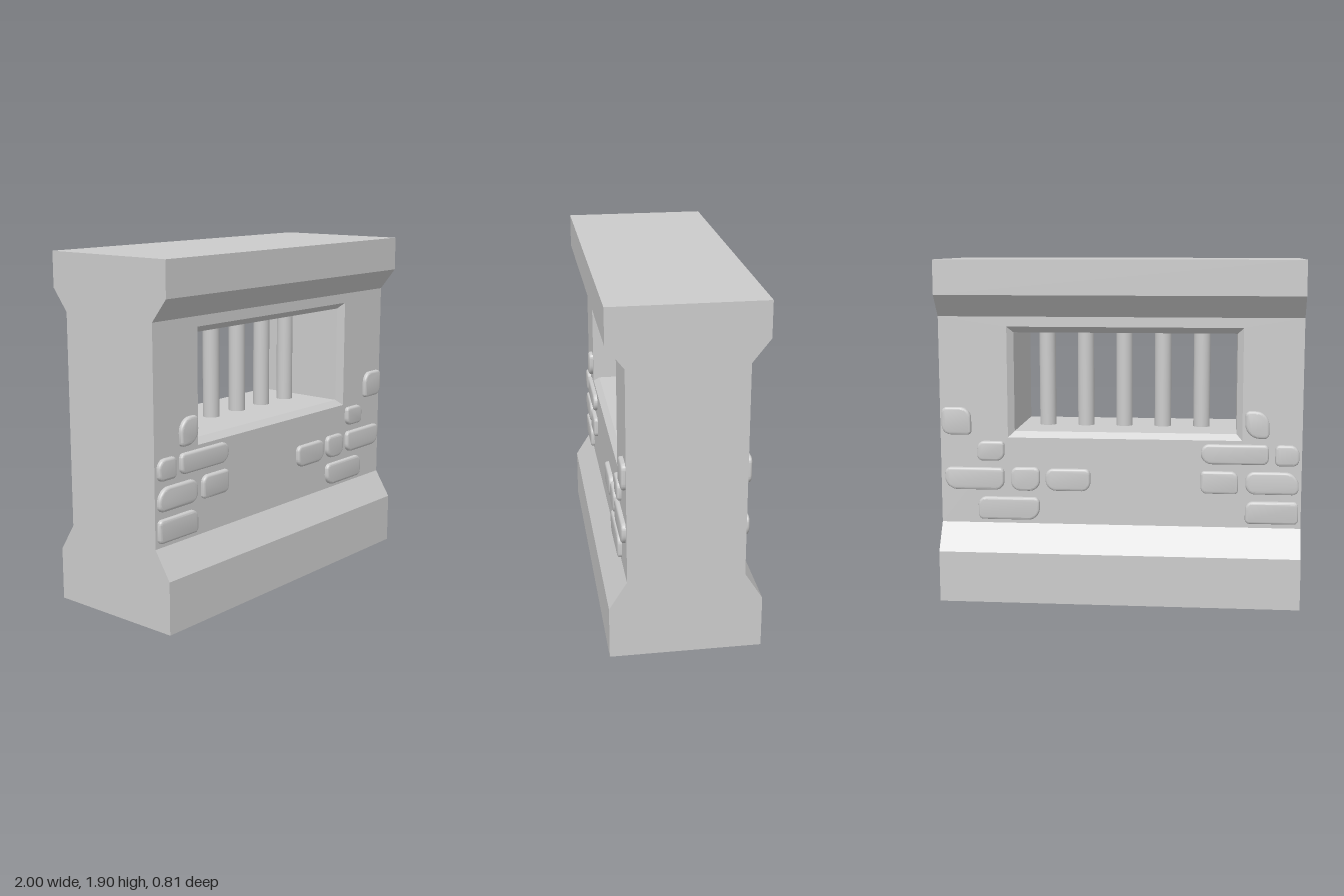
import * as THREE from 'three';
import { toCreasedNormals } from 'three/addons/utils/BufferGeometryUtils.js';

const stone = new THREE.MeshStandardMaterial({ color: 0xcccccc });
stone.name = 'grey stone';

// Flat geometry from quads, corners counter-clockwise seen from outside
function quadGeometry(quads) {
  const pos = [];
  for (const [a, b, c, d] of quads) pos.push(...a, ...b, ...c, ...a, ...c, ...d);
  const g = new THREE.BufferGeometry();
  g.setAttribute('position', new THREE.Float32BufferAttribute(pos, 3));
  g.computeVertexNormals();
  return g;
}

// Full-width band between two levels [y, half depth]; faces front/back are optional
function band([y0, z0], [y1, z1], withFaces = true) {
  const quads = [
    [[1, y0, z0], [1, y0, -z0], [1, y1, -z1], [1, y1, z1]],
    [[-1, y0, -z0], [-1, y0, z0], [-1, y1, z1], [-1, y1, -z1]],
  ];
  if (withFaces) quads.push(
    [[-1, y0, z0], [1, y0, z0], [1, y1, z1], [-1, y1, z1]],
    [[1, y0, -z0], [-1, y0, -z0], [-1, y1, -z1], [1, y1, -z1]],
  );
  return quads;
}

// Horizontal cap, facing up or down
function cap([y, z], up) {
  const q = [[-1, y, z], [1, y, z], [1, y, -z], [-1, y, -z]];
  return up ? q : q.reverse();
}

// Rectangular loop of four corners
const ring = (x0, x1, y0, y1, z) => [[x0, y0, z], [x1, y0, z], [x1, y1, z], [x0, y1, z]];

// Rounded rectangle with its own radius at each corner
function roundedShape(x0, x1, y0, y1, [tl, tr, br, bl]) {
  const s = new THREE.Shape();
  const q = Math.PI / 2;
  s.absarc(x1 - br, y0 + br, br, -q, 0);
  s.absarc(x1 - tr, y1 - tr, tr, 0, q);
  s.absarc(x0 + tl, y1 - tl, tl, q, 2 * q);
  s.absarc(x0 + bl, y0 + bl, bl, 2 * q, 3 * q);
  s.closePath();
  return s;
}

export function createModel() {
  const group = new THREE.Group();
  group.name = 'barredWindowWall';
  const add = (name, geometry, parent = group) => {
    const mesh = new THREE.Mesh(geometry, stone);
    mesh.name = name;
    parent.add(mesh);
    return mesh;
  };

  // Side profile, from the ground up
  const D = 0.403, W = 0.308;
  const levels = [[0, D], [0.285, D], [0.435, W], [1.59, W], [1.71, D], [1.9, D]];
  add('plinth', quadGeometry([
    cap(levels[0], false), ...band(levels[0], levels[1]), ...band(levels[1], levels[2]),
  ]));
  add('cornice', quadGeometry([
    ...band(levels[3], levels[4]), ...band(levels[4], levels[5]), cap(levels[5], true),
  ]));

  // Wall with a chamfered opening right through it
  const outer = (z) => ring(-1, 1, 0.435, 1.59, z);
  const rim = (z) => ring(-0.675, 0.62, 0.92, 1.535, z);
  const inner = (z) => ring(-0.643, 0.587, 0.952, 1.502, z);
  const rings = [outer(W), rim(W), inner(0.275), inner(-0.275), rim(-W), outer(-W)];
  const wall = band(levels[2], levels[3], false);
  for (let r = 0; r < rings.length - 1; r++) {
    for (let i = 0; i < 4; i++) {
      const j = (i + 1) % 4;
      wall.push([rings[r][i], rings[r][j], rings[r + 1][j], rings[r + 1][i]]);
    }
  }
  add('wall', quadGeometry(wall));

  // Window bars
  const bars = new THREE.Group();
  bars.name = 'windowBars';
  group.add(bars);
  const barGeometry = new THREE.CylinderGeometry(0.047, 0.047, 0.57, 24);
  for (let i = 0; i < 5; i++) {
    add('bar', barGeometry, bars).position.set(-0.445 + i * 0.2212, 1.227, 0);
  }

  // Raised stones: x0, x1, y0, y1, corner radii (top left, top right, bottom right, bottom left)
  const blocks = [
    [-0.82, -0.69, 0.935, 1.085, [0.075, 0.025, 0.08, 0.025]],
    [-0.985, -0.855, 0.785, 0.9, [0.05, 0.025, 0.025, 0.035]],
    [-0.82, -0.45, 0.79, 0.9, [0.025, 0.045, 0.06, 0.035]],
    [-0.985, -0.695, 0.625, 0.75, [0.075, 0.05, 0.055, 0.035]],
    [-0.655, -0.45, 0.625, 0.75, [0.04, 0.02, 0.035, 0.02]],
    [-0.985, -0.695, 0.46, 0.585, [0.025, 0.045, 0.025, 0.025]],
    [0.825, 0.99, 0.935, 1.088, [0.06, 0.03, 0.05, 0.02]],
    [0.64, 0.792, 0.79, 0.9, [0.02, 0.04, 0.03, 0.045]],
    [0.16, 0.41, 0.625, 0.75, [0.03, 0.045, 0.06, 0.05]],
    [0.442, 0.605, 0.622, 0.755, [0.03, 0.04, 0.055, 0.06]],
    [0.643, 0.977, 0.625, 0.75, [0.025, 0.035, 0.07, 0.05]],
    [0.445, 0.79, 0.457, 0.585, [0.03, 0.045, 0.03, 0.065]],
  ];
  const bevel = 0.013, depth = 0.02;
  for (const [x0, x1, y0, y1, radii] of blocks) {
    const g = new THREE.ExtrudeGeometry(roundedShape(x0, x1, y0, y1, radii), {
      depth, curveSegments: 6, bevelEnabled: true, bevelSegments: 3,
      bevelThickness: bevel, bevelSize: bevel, bevelOffset: -bevel,
    });
    g.translate(0, 0, -depth / 2);
    const smooth = toCreasedNormals(g, 0.7);
    // Same stone on both faces of the wall, half sunk in
    add('frontStone', smooth).position.z = W;
    add('backStone', smooth).position.z = -W;
  }
  return group;
}
